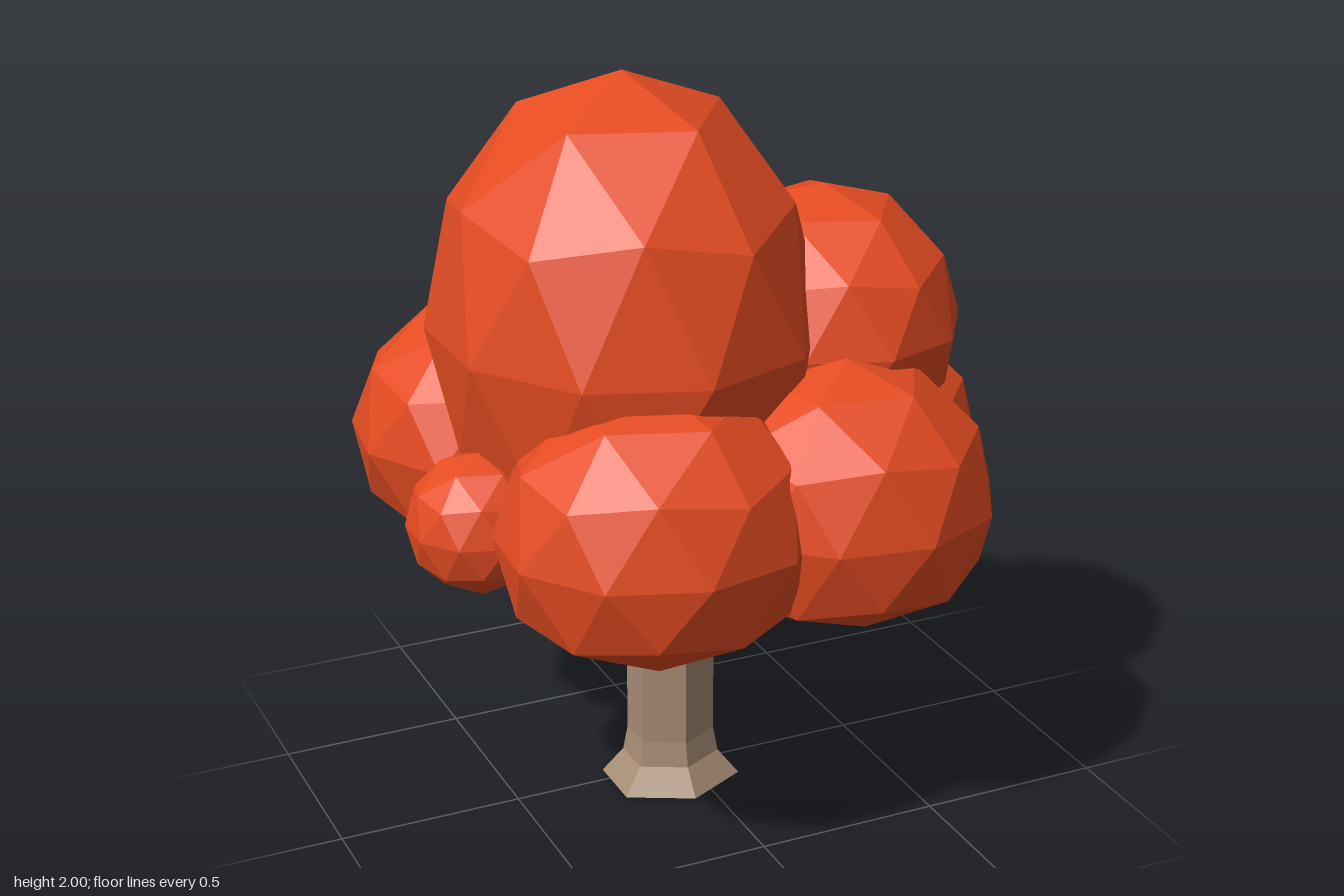
import * as THREE from 'three';

const leafMat = new THREE.MeshStandardMaterial({ color: 0xe54c22, flatShading: true });
const barkMat = new THREE.MeshStandardMaterial({ color: 0xa88d75, flatShading: true });

// Faceted ellipsoid with a vertex at the top and its underside pressed flat at floorY
function leafClump(name, [x, y, z], [rx, ry, rz], floorY, yaw = 0) {
  const geo = new THREE.IcosahedronGeometry(1, 1);
  geo.rotateZ(-Math.atan(2 / (1 + Math.sqrt(5))));
  geo.rotateY(yaw);
  geo.scale(rx, ry, rz);
  geo.translate(x, y, z);
  const p = geo.attributes.position;
  for (let i = 0; i < p.count; i++) {
    // keep a slight bulge below the floor so the underside is not perfectly level
    if (p.getY(i) < floorY) p.setY(i, floorY + (p.getY(i) - floorY) * 0.05);
  }
  geo.computeVertexNormals();
  const mesh = new THREE.Mesh(geo, leafMat);
  mesh.name = name;
  return mesh;
}

// Tapered limb between two points
function limb(name, from, to, r0, r1) {
  const a = new THREE.Vector3(...from), b = new THREE.Vector3(...to);
  const dir = b.clone().sub(a);
  const mesh = new THREE.Mesh(new THREE.CylinderGeometry(r1, r0, dir.length(), 5), barkMat);
  mesh.position.copy(a).add(b).multiplyScalar(0.5);
  mesh.quaternion.setFromUnitVectors(new THREE.Vector3(0, 1, 0), dir.normalize());
  mesh.name = name;
  return mesh;
}

export function createModel() {
  const tree = new THREE.Group();
  tree.name = 'tree';

  // Six-sided trunk with a flared foot, slightly narrower front to back
  const profile = [[0, 0], [0.195, 0], [0.135, 0.07], [0.122, 0.14], [0.122, 0.56], [0.115, 0.66], [0.065, 0.74], [0.055, 1.1], [0, 1.1]]
    .map(([r, y]) => new THREE.Vector2(r, y));
  const trunk = new THREE.Mesh(new THREE.LatheGeometry(profile, 6), barkMat);
  trunk.scale.z = 0.86;
  trunk.position.set(-0.06, 0, 0.032);
  trunk.name = 'trunk';
  tree.add(trunk);

  // Branches reaching out into the clumps
  const branches = new THREE.Group();
  branches.name = 'branches';
  branches.add(
    limb('frontRightBranch', [-0.07, 0.6, 0.04], [-0.3, 0.7, 0.33], 0.07, 0.05),
    limb('frontLeftBranch', [-0.06, 0.72, 0.03], [0.2, 0.8, 0.27], 0.05, 0.035),
    limb('backRightBranch', [-0.06, 0.65, 0.03], [-0.34, 0.8, -0.16], 0.07, 0.04),
    limb('leftBranch', [-0.06, 0.7, 0.03], [0.22, 0.79, 0.02], 0.055, 0.035),
  );
  tree.add(branches);

  // Foliage: name, centre, radii, height of the flattened underside, turn
  const foliage = new THREE.Group();
  foliage.name = 'foliage';
  [
    ['crownClump', [-0.18, 1.34, 0.015], [0.51, 0.66, 0.547], 0.93],
    ['upperLeftClump', [0.36, 1.3, 0.08], [0.36, 0.36, 0.395], 1.05],
    ['frontLeftClump', [0.245, 0.935, 0.44], [0.4, 0.38, 0.37], 0.665, 0.15],
    ['frontRightClump', [-0.265, 0.93, 0.42], [0.42, 0.385, 0.375], 0.645, -0.06],
    ['backLeftClump', [0.257, 0.97, -0.435], [0.355, 0.4, 0.375], 0.725],
    ['sideLeftClump', [0.46, 0.93, 0.05], [0.355, 0.335, 0.375], 0.685, 0.1],
    ['backRightClump', [-0.395, 0.98, -0.31], [0.415, 0.36, 0.395], 0.71, -0.13],
    ['smallBackClump', [-0.06, 0.99, -0.5], [0.19, 0.23, 0.2], 0.82],
    ['smallSideClump', [-0.62, 0.89, 0.1], [0.19, 0.19, 0.19], 0.735],
  ].forEach((c) => foliage.add(leafClump(...c)));
  tree.add(foliage);

  return tree;
}
